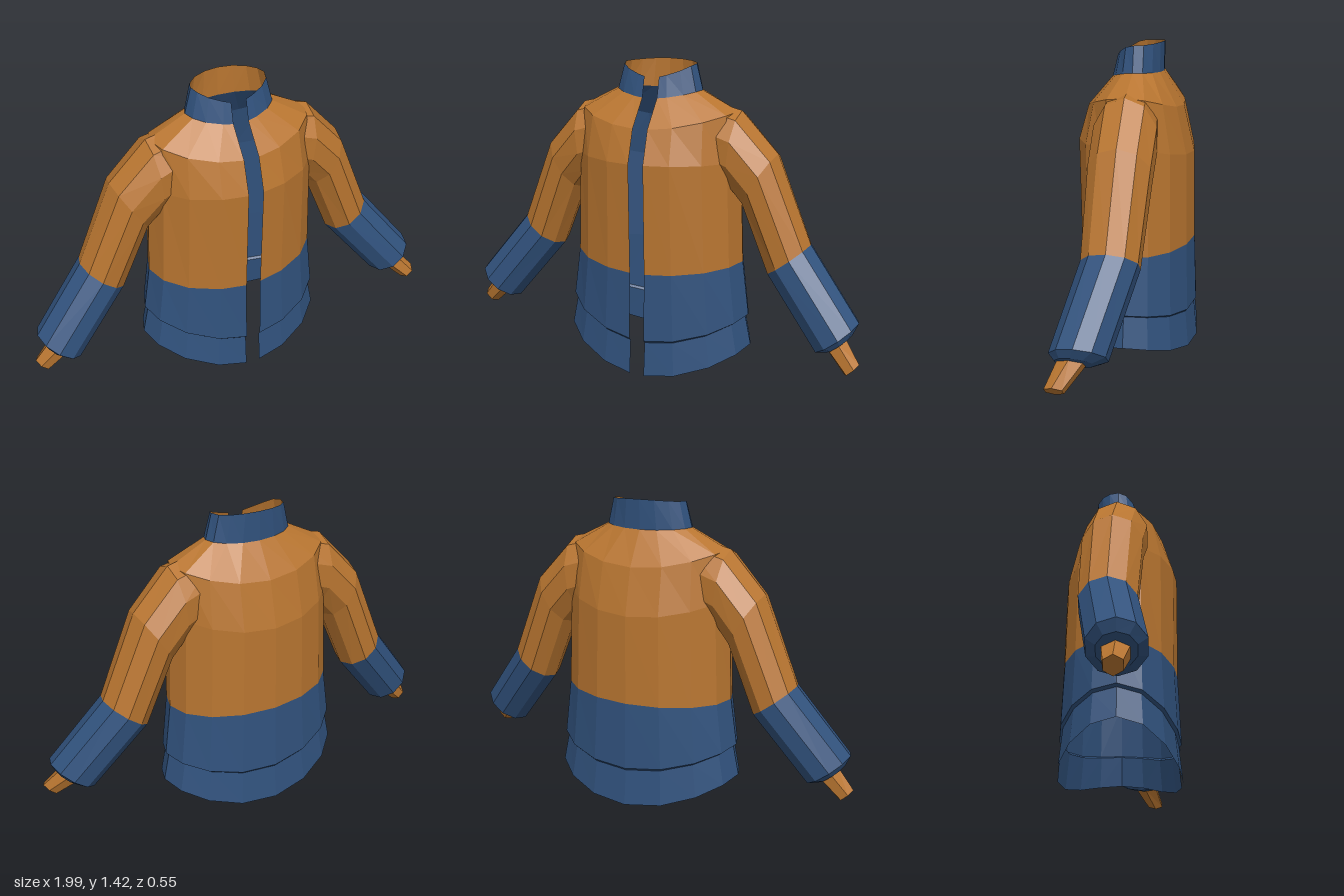
import * as THREE from 'three';

const ORANGE = 0xb87530, BLUE = 0x31527d;
const SEG = 16;

// Skin a list of rings (arrays of Vector3) with flat-shaded quads
function loft(name, rings, color, { closed = false, flip = false, cap = false } = {}) {
  const pos = [];
  const tri = (a, b, c) => {
    for (const p of flip ? [a, c, b] : [a, b, c]) pos.push(p.x, p.y, p.z);
  };
  for (let r = 0; r < rings.length - 1; r++) {
    const lo = rings[r], hi = rings[r + 1], n = lo.length;
    for (let i = 0; i < (closed ? n : n - 1); i++) {
      const j = (i + 1) % n;
      tri(lo[i], lo[j], hi[i]);
      tri(lo[j], hi[j], hi[i]);
    }
  }
  if (cap) {
    const end = rings[rings.length - 1];
    for (let i = 1; i < end.length - 1; i++) tri(end[0], end[i], end[i + 1]);
  }
  const geo = new THREE.BufferGeometry();
  geo.setAttribute('position', new THREE.Float32BufferAttribute(pos, 3));
  geo.computeVertexNormals();
  const mesh = new THREE.Mesh(geo, new THREE.MeshStandardMaterial({ color, flatShading: true }));
  mesh.name = name;
  return mesh;
}

// Oval body ring, open at the front; its height differs at front, side and back
function bodyRing({ x, front, back, yF, yS, yB, tilt = 0 }, scale = 1) {
  const pts = [];
  for (let i = 0; i <= SEG; i++) {
    const a = (i / SEG) * Math.PI * 2, c = Math.cos(a);
    let px = x * Math.sin(a);
    if (i === 0) px = 0.035;
    if (i === SEG) px = -0.035;
    const pz = c > 0 ? front * c : back * c;
    const y = yS + ((c > 0 ? yF : yB) - yS) * c * c - tilt * px;
    const k = i === 0 || i === SEG ? 1 : scale;
    pts.push(new THREE.Vector3(px * k, y, pz * scale));
  }
  return pts;
}

// Sleeve ring between an upper and a lower point, zr wide in depth
function limbRing(side, sides, [tx, ty, bx, by, zr], z) {
  const pts = [];
  for (let i = 0; i < sides; i++) {
    const a = (i / sides) * Math.PI * 2, c = Math.cos(a);
    pts.push(new THREE.Vector3(
      side * ((tx + bx) / 2 + ((tx - bx) / 2) * c),
      (ty + by) / 2 + ((ty - by) / 2) * c,
      z + zr * Math.sin(a)));
  }
  return pts;
}

function createArm(side, z) {
  const arm = new THREE.Group();
  arm.name = side > 0 ? 'leftArm' : 'rightArm';
  const flip = side < 0;
  const ring = (spec, depth, sides = 10) => limbRing(side, sides, spec, depth);

  const elbow = ring([0.725, 0.65, 0.535, 0.5, 0.125], z.elbow);
  arm.add(loft('upperSleeve', [
    ring([0.22, 1.26, 0.24, 0.92, 0.12], 0),
    ring([0.39, 1.22, 0.35, 0.87, 0.142], 0),
    ring([0.56, 1.04, 0.41, 0.8, 0.138], z.upper),
    elbow,
  ], ORANGE, { closed: true, flip }));

  // Lower sleeve with a bevelled, closed end
  arm.add(loft('lowerSleeve', [
    elbow,
    ring([0.968, 0.35, 0.783, 0.2, 0.12], z.cuff),
    ring([0.948, 0.302, 0.832, 0.208, 0.08], z.cuff + z.lean),
  ], BLUE, { closed: true, flip, cap: true }));

  // Tapered stub of the hand
  arm.add(loft('hand', [
    ring([0.915, 0.29, 0.84, 0.22, 0.062], z.wrist, 6),
    ring([0.993, 0.195, 0.933, 0.138, 0.042], z.tip, 6),
  ], ORANGE, { closed: true, flip, cap: true }));
  return arm;
}

export function createModel() {
  const model = new THREE.Group();
  model.name = 'jacket';

  const hem = { x: 0.457, front: 0.277, back: 0.275, yF: 0.008, yS: 0.147, yB: 0.03, tilt: 0.035 };
  const bandTop = { x: 0.428, front: 0.263, back: 0.258, yF: 0.168, yS: 0.285, yB: 0.2, tilt: 0.04 };
  const overhang = { x: 0.443, front: 0.275, back: 0.268, yF: 0.18, yS: 0.295, yB: 0.212, tilt: 0.04 };
  const seam = { x: 0.41, front: 0.266, back: 0.257, yF: 0.495, yS: 0.53, yB: 0.525 };
  const chest = { x: 0.39, front: 0.275, back: 0.25, yF: 0.995, yS: 1.0, yB: 0.93 };
  const yoke = { x: 0.375, front: 0.225, back: 0.2, yF: 1.145, yS: 1.215, yB: 1.14 };
  const neck = { x: 0.205, front: 0.122, back: 0.108, yF: 1.268, yS: 1.3, yB: 1.292 };
  const collarTop = { x: 0.175, front: 0.098, back: 0.11, yF: 1.36, yS: 1.415, yB: 1.425 };

  const outer = (list) => list.map((r) => bodyRing(r));
  const inner = (list) => list.map((r) => bodyRing(r, 0.985));

  // Outer shell
  model.add(loft('lowerBody', outer([hem, bandTop, overhang, seam]), BLUE));
  model.add(loft('upperBody', outer([seam, chest, yoke, neck]), ORANGE));
  model.add(loft('collar', outer([neck, collarTop]), BLUE));

  // Inside faces
  model.add(loft('bodyLining', inner([hem, bandTop, overhang, seam, chest, yoke, neck]), BLUE, { flip: true }));
  model.add(loft('collarLining', inner([neck, collarTop]), ORANGE, { flip: true }));

  // Arms, the left one reaching further forward
  model.add(createArm(1, { upper: 0, elbow: 0.012, cuff: 0.09, lean: 0.015, wrist: 0.115, tip: 0.168 }));
  model.add(createArm(-1, { upper: -0.015, elbow: -0.028, cuff: 0.015, lean: 0, wrist: 0.012, tip: 0.005 }));
  return model;
}
